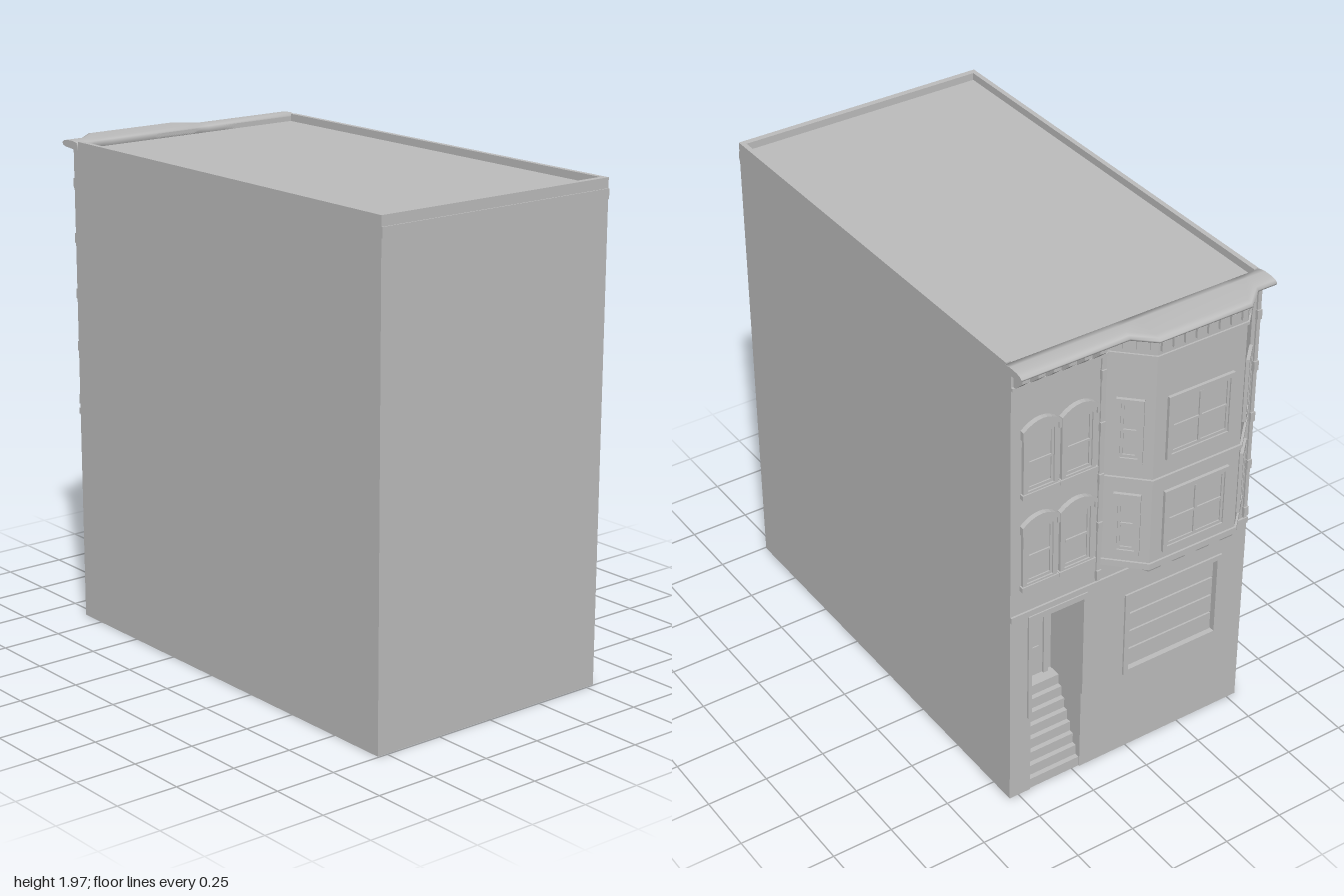
import * as THREE from 'three';

export function createModel() {
  const stone = new THREE.MeshStandardMaterial({ color: 0xbcbcbc, side: THREE.DoubleSide });
  stone.name = 'grey stone';
  const root = new THREE.Group();
  root.name = 'townHouse';

  // The street side is built facing +z locally, then turned to face -z
  const facade = new THREE.Group();
  facade.name = 'streetFacade';
  facade.position.z = -0.86;
  facade.rotation.y = Math.PI;
  root.add(facade);

  const add = (parent, name, geo) => {
    const mesh = new THREE.Mesh(geo, stone);
    mesh.name = name;
    parent.add(mesh);
    return mesh;
  };
  const box = (parent, name, x0, x1, y0, y1, z0, z1) =>
    add(parent, name, new THREE.BoxGeometry(x1 - x0, y1 - y0, z1 - z0)
      .translate((x0 + x1) / 2, (y0 + y1) / 2, (z0 + z1) / 2));
  const poly = pts => new THREE.Shape(pts.map(p => new THREE.Vector2(p[0], p[1])));
  const rect = (x0, x1, y0, y1) => poly([[x0, y0], [x1, y0], [x1, y1], [x0, y1]]);
  const extrude = (shape, depth) =>
    new THREE.ExtrudeGeometry(shape, { depth, bevelEnabled: false, curveSegments: 8 });
  // Horizontal slab from a plan outline of [x, z] points
  const slab = (parent, name, pts, y0, y1) =>
    add(parent, name, extrude(poly(pts.map(p => [p[0], -p[1]])), y1 - y0)
      .rotateX(-Math.PI / 2).translate(0, y0, 0));
  // Side profile of [z, y] points given a width along x
  const profile = (parent, name, pts, x, w) =>
    add(parent, name, extrude(poly(pts), w).rotateY(-Math.PI / 2).translate(x + w / 2, 0, 0));

  // Shell: two sides and the plain wall, open underneath, with a sunken roof
  slab(root, 'outerWalls', [[-0.54, -0.83], [-0.54, 0.995], [0.54, 0.995], [0.54, -0.83],
    [0.52, -0.83], [0.52, 0.97], [-0.52, 0.97], [-0.52, -0.83]], 0, 1.97);
  box(root, 'roof', -0.52, 0.52, 1.93, 1.94, -0.83, 0.97);
  box(root, 'rearBand', -0.54, 0.54, 1.89, 1.93, 0.995, 1.0);

  // Street wall with the entry and garage cut out
  const EL = -0.447, ER = -0.218, ET = 0.83;
  const wall = poly([[-0.54, 0], [EL, 0], [EL, ET], [ER, ET], [ER, 0], [0.54, 0], [0.54, 1.96], [-0.54, 1.96]]);
  wall.holes.push(rect(-0.005, 0.405, 0.39, 0.735));
  add(facade, 'streetWall', extrude(wall, 0.03).translate(0, 0, -0.03));
  box(facade, 'stringCourse', -0.54, 0.54, 0.86, 0.885, 0, 0.008);

  // Garage door
  const garageFrame = rect(-0.026, 0.426, 0.37, 0.757);
  garageFrame.holes.push(rect(-0.005, 0.405, 0.39, 0.735));
  add(facade, 'garageFrame', extrude(garageFrame, 0.008));
  box(facade, 'garageBacking', -0.005, 0.405, 0.39, 0.735, -0.03, -0.024);
  for (let i = 0; i < 4; i++) {
    const y = 0.392 + i * 0.086;
    box(facade, 'garagePanel', 0, 0.4, y, y + 0.078, -0.024, -0.012);
  }

  // Entry recess, stairs, door and surround
  const D = -0.2;
  box(facade, 'entrySideWall', EL - 0.004, EL, 0, ET, D, -0.001);
  box(facade, 'entrySideWall', ER, ER + 0.004, 0, ET, D, -0.001);
  box(facade, 'entryCeiling', EL, ER, ET, ET + 0.004, D, -0.001);
  box(facade, 'entryBackWall', EL, ER, 0.3, ET, D - 0.004, D);
  for (let i = 0; i < 8; i++) {
    const top = 0.045 * (i + 1), z = -0.005 - i * 0.02;
    box(facade, 'step', EL, ER, top - 0.045, top, i === 7 ? D : z - 0.024, z);
  }
  const doorFrame = rect(-0.425, -0.24, 0.36, 0.8);
  doorFrame.holes.push(rect(-0.405, -0.26, 0.36, 0.7), rect(-0.405, -0.26, 0.72, 0.78));
  add(facade, 'doorFrame', extrude(doorFrame, 0.015).translate(0, 0, D));
  box(facade, 'door', -0.405, -0.26, 0.36, 0.7, D, D + 0.006);
  for (const [a, b] of [[0.39, 0.5], [0.53, 0.68]])
    box(facade, 'doorPanel', -0.385, -0.28, a, b, D + 0.006, D + 0.011);
  for (const x of [EL - 0.016, ER])
    box(facade, 'entryPost', x, x + 0.016, 0.37, 0.855, 0, 0.008);
  box(facade, 'entryLintel', EL, ER, ET, 0.855, 0, 0.008);

  // Window: outer frame, sash, glazing bars and a sill, placed in its own group
  const archShape = (w, y0, y1, rise) => {
    const s = new THREE.Shape();
    s.moveTo(-w / 2, y0);
    s.lineTo(w / 2, y0);
    s.lineTo(w / 2, y1);
    if (rise) s.quadraticCurveTo(0, y1 + rise * 2, -w / 2, y1);
    else s.lineTo(-w / 2, y1);
    s.closePath();
    return s;
  };
  const windowUnit = (name, x, y, z, turn, w, h, rise, mullion) => {
    const g = new THREE.Group();
    g.name = name;
    g.position.set(x, y, z);
    g.rotation.y = turn;
    facade.add(g);
    const frame = archShape(w, 0, h, rise);
    frame.holes.push(archShape(w - 0.036, 0.02, h - 0.018, rise));
    add(g, 'windowFrame', extrude(frame, 0.013));
    const sash = archShape(w - 0.036, 0.02, h - 0.018, rise);
    sash.holes.push(archShape(w - 0.056, 0.032, h - 0.028, rise));
    add(g, 'windowSash', extrude(sash, 0.007));
    add(g, 'windowPane', new THREE.ShapeGeometry(archShape(w - 0.04, 0.02, h - 0.02, rise), 8).translate(0, 0, 0.002));
    const i = w / 2 - 0.026;
    box(g, 'meetingRail', -i, i, h / 2 - 0.005, h / 2 + 0.005, 0.002, 0.008);
    if (mullion) box(g, 'mullion', -0.006, 0.006, 0.03, h - 0.026, 0.002, 0.008);
    if (rise) {
      // Arched hood with short drops at each side
      const o = w / 2 + 0.006, n = w / 2 - 0.004, s = new THREE.Shape();
      s.moveTo(-o, h - 0.025);
      s.lineTo(-o, h + 0.012);
      s.quadraticCurveTo(0, h + 0.012 + rise * 2.3, o, h + 0.012);
      s.lineTo(o, h - 0.025);
      s.lineTo(n, h - 0.025);
      s.lineTo(n, h);
      s.quadraticCurveTo(0, h + rise * 2, -n, h);
      s.lineTo(-n, h - 0.025);
      add(g, 'archedHood', extrude(s, 0.02));
      box(g, 'windowSill', -o, o, -0.008, 0.012, 0, 0.018);
    }
  };

  // Bay outline, grown outward by d
  const bayOutline = d => [[-0.14 - 1.414 * d, 0], [-0.016 - 0.414 * d, 0.124 + d],
    [0.376 + 0.414 * d, 0.124 + d], [0.5 + 1.414 * d, 0]];
  slab(facade, 'bay', bayOutline(0), 0.955, 1.95);
  for (const [y0, y1, d] of [[0.955, 0.968, 0.004], [0.968, 0.985, 0.008], [1.335, 1.345, 0.004],
    [1.345, 1.36, 0.009], [1.875, 1.888, 0.007]])
    slab(facade, 'bayBand', bayOutline(d), y0, y1);

  // Windows on both upper storeys
  for (const y of [1.0, 1.41]) {
    for (const x of [-0.42, -0.258]) windowUnit('archedWindow', x, y, 0, 0, 0.148, 0.27, 0.03, false);
    windowUnit('bayFrontWindow', 0.18, y + 0.02, 0.124, 0, 0.29, 0.27, 0, true);
    for (const s of [-1, 1])
      windowUnit('baySideWindow', 0.18 + s * 0.258, y + 0.02, 0.062, s * Math.PI / 4, 0.1, 0.27, 0, false);
  }

  // Sloping corbels under the bay
  for (let i = 0; i < 4; i++)
    profile(facade, 'bayCorbel', [[0, 0.89], [0.118, 0.94], [0.124, 0.957], [0, 0.957]], 0.015 + i * 0.11, 0.055);

  // Slim blocked pilasters on either side of the bay
  for (const x of [-0.166, 0.517]) {
    box(facade, 'pilaster', x, x + 0.016, 0.89, 1.92, 0, 0.008);
    for (const y of [0.9, 1.12, 1.335, 1.56, 1.78])
      box(facade, 'pilasterBlock', x - 0.002, x + 0.018, y, y + 0.04, 0, 0.014);
  }

  // Cornice swept along the wall and around the bay
  const rail = [[-0.545, 0.07], [-0.095, 0.07], [-0.02, 0.14], [0.38, 0.14], [0.46, 0.07], [0.545, 0.07]];
  const section = v => [[-0.03, 1.93], [-0.03, 1.965], [0, 1.97], [v - 0.03, 1.969], [v - 0.01, 1.965],
    [v, 1.956], [v - 0.004, 1.947], [v - 0.02, 1.942], [0, 1.938]];
  const pos = [], idx = [], n = 9;
  rail.forEach(([x, v], r) => section(v).forEach(([z, y], k) => {
    pos.push(x, y, z);
    if (r < rail.length - 1) {
      const a = r * n + k, b = r * n + (k + 1) % n;
      idx.push(a, b, a + n, b, b + n, a + n);
    }
  }));
  const cornice = new THREE.BufferGeometry();
  cornice.setAttribute('position', new THREE.Float32BufferAttribute(pos, 3));
  cornice.setIndex(idx);
  cornice.computeVertexNormals();
  add(facade, 'cornice', cornice);
  for (const x of [-0.544, 0.544])
    profile(facade, 'corniceEnd', section(0.07), x, 0.002);

  // Wedge brackets over the flat wall, dentils around the bay
  box(facade, 'friezeBand', -0.54, -0.14, 1.872, 1.885, 0, 0.01);
  for (let i = 0; i < 6; i++)
    profile(facade, 'corniceBracket', [[0, 1.885], [0.012, 1.885], [0.055, 1.925], [0.055, 1.945], [0, 1.945]],
      -0.515 + i * 0.064, 0.03);
  for (let i = 0; i < 8; i++) {
    const x = 0.005 + i * 0.05;
    box(facade, 'dentil', x - 0.011, x + 0.011, 1.905, 1.945, 0.12, 0.135);
  }
  for (const s of [-1, 1]) for (let i = 0; i < 3; i++) {
    const t = 0.03 + i * 0.034;
    const d = add(facade, 'dentil', new THREE.BoxGeometry(0.022, 0.04, 0.02));
    d.position.set(0.18 + s * (0.32 - t), 1.925, t);
    d.rotation.y = s * Math.PI / 4;
  }
  return root;
}
